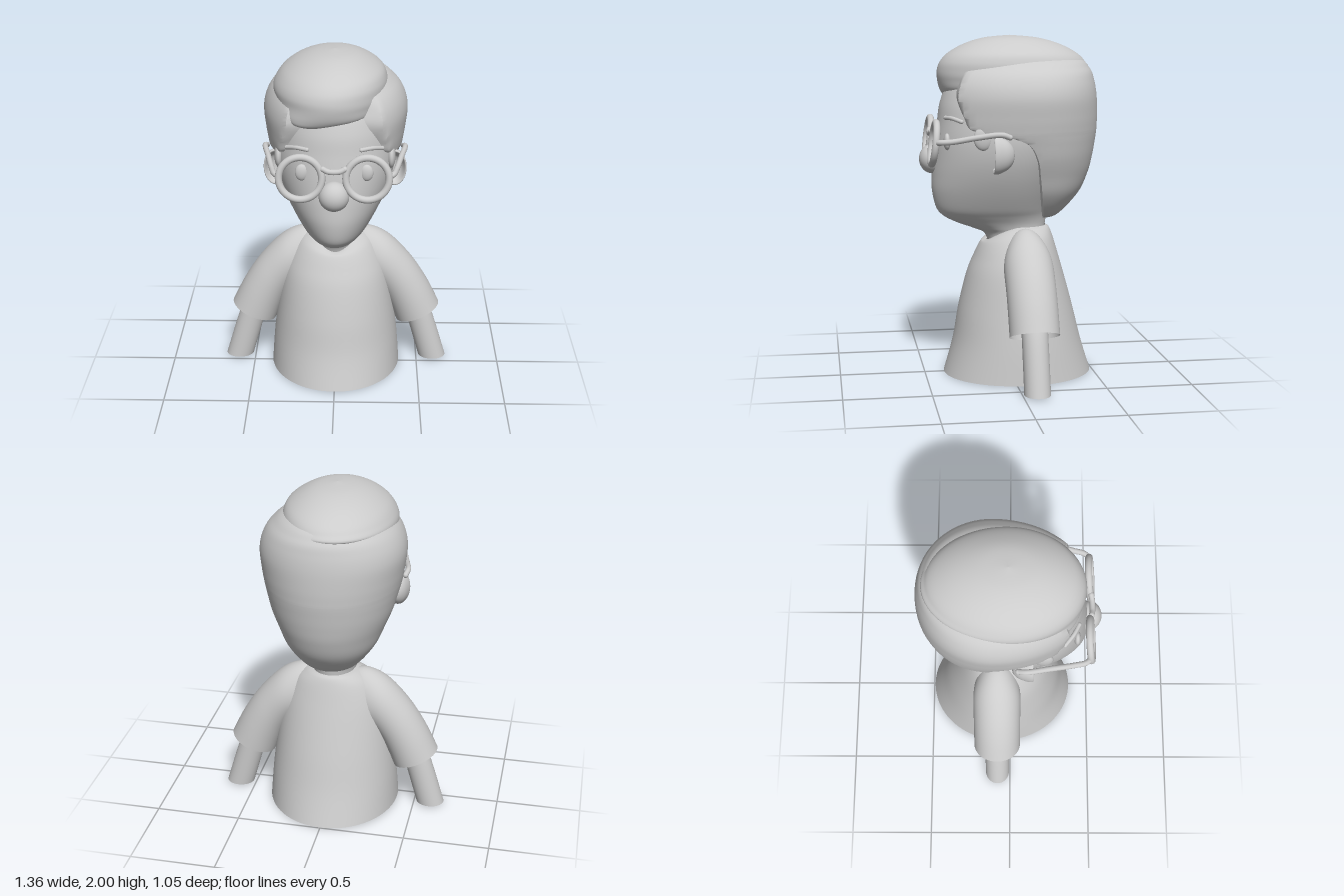
import * as THREE from 'three';
import { toCreasedNormals } from 'three/addons/utils/BufferGeometryUtils.js';

const mat = new THREE.MeshStandardMaterial({ color: 0xcccccc, side: THREE.DoubleSide });
const V = (x, y, z) => new THREE.Vector3(x, y, z);
const SEG = 72;

// Smooth interpolation through rows of section parameters
function refine(rows, steps) {
  const out = [];
  const cr = (a, b, c, d, t) => 0.5 * (2 * b + (c - a) * t + (2 * a - 5 * b + 4 * c - d) * t * t + (3 * b - a - 3 * c + d) * t * t * t);
  for (let i = 0; i < rows.length - 1; i++) {
    const a = rows[Math.max(i - 1, 0)], b = rows[i], c = rows[i + 1], d = rows[Math.min(i + 2, rows.length - 1)];
    for (let k = 0; k < steps; k++) out.push(b.map((_, n) => cr(a[n], b[n], c[n], d[n], k / steps)));
  }
  out.push(rows[rows.length - 1]);
  return out;
}

// Skin closed rings made by point(row, angle)
function skin(rows, point, steps = 6) {
  const pos = [], idx = [], all = refine(rows, steps);
  all.forEach((row, i) => {
    for (let j = 0; j < SEG; j++) {
      const p = point(row, (j / SEG) * Math.PI * 2);
      pos.push(p.x, p.y, p.z);
      if (i === all.length - 1) continue;
      const a = i * SEG + j, b = i * SEG + (j + 1) % SEG, c = a + SEG, d = b + SEG;
      idx.push(a, c, b, b, c, d);
    }
  });
  const g = new THREE.BufferGeometry();
  g.setAttribute('position', new THREE.Float32BufferAttribute(pos, 3));
  g.setIndex(idx);
  g.computeVertexNormals();
  return g;
}

// Horizontal section: [y, centreX, halfWidth, centreZ, frontZ, backZ, extra]
function section([y, cx, rx, cz, zf, zb], a) {
  const s = Math.sin(a);
  return V(cx + Math.max(rx, 0) * Math.cos(a), y, cz + s * (s > 0 ? zf - cz : cz - zb));
}

export function createModel() {
  const model = new THREE.Group();
  const add = (name, geo, x = 0, y = 0, z = 0) => {
    const m = new THREE.Mesh(geo, mat);
    m.name = name;
    m.position.set(x, y, z);
    model.add(m);
    return m;
  };
  const ball = (name, x, y, z, rx, ry, rz) => add(name, new THREE.SphereGeometry(1, 32, 24), x, y, z).scale.set(rx, ry, rz);
  const tube = (name, pts, r) => {
    add(name, new THREE.TubeGeometry(new THREE.CatmullRomCurve3(pts), 32, r, 12));
    for (const p of [pts[0], pts[pts.length - 1]]) ball(name + 'End', p.x, p.y, p.z, r, r, r);
  };

  // Shirt body, open at the hem, with the neckline dipping at the front
  add('shirtBody', skin([
    [0.005, 0, 0.39, -0.055, 0.385, -0.495, 0],
    [0.2, 0, 0.375, -0.06, 0.33, -0.435, 0],
    [0.4, 0, 0.35, -0.06, 0.295, -0.385, 0],
    [0.6, 0, 0.32, -0.06, 0.245, -0.33, 0],
    [0.72, 0, 0.285, -0.07, 0.2, -0.295, 0.01],
    [0.82, 0, 0.23, -0.08, 0.165, -0.265, 0.04],
    [0.87, 0, 0.17, -0.08, 0.145, -0.245, 0.075],
    [0.885, 0, 0.13, -0.07, 0.125, -0.225, 0.085],
  ], (r, a) => {
    const p = section(r, a);
    p.y -= r[6] * Math.max(0, Math.sin(a)) ** 2;
    return p;
  }));

  // Head with chin and neck
  add('head', skin([
    [0.76, 0, 0.12, -0.05, 0.11, -0.21],
    [0.84, 0, 0.122, -0.05, 0.14, -0.215],
    [0.875, 0, 0.127, -0.03, 0.215, -0.22],
    [0.91, 0, 0.14, 0.0, 0.31, -0.225],
    [0.95, 0, 0.165, 0.03, 0.385, -0.23],
    [1.0, 0, 0.2, 0.04, 0.425, -0.24],
    [1.1, 0, 0.255, 0.04, 0.448, -0.27],
    [1.2, 0, 0.3, 0.04, 0.448, -0.3],
    [1.3, 0, 0.332, 0.04, 0.44, -0.33],
    [1.4, 0, 0.347, 0.04, 0.43, -0.35],
    [1.5, 0, 0.343, 0.04, 0.415, -0.35],
    [1.62, 0, 0.325, 0.03, 0.395, -0.35],
    [1.74, 0, 0.28, 0.02, 0.34, -0.3],
    [1.82, 0, 0.2, 0, 0.22, -0.2],
    [1.86, 0, 0, 0, 0, 0],
  ], section));

  // Back and side hair, cut off at a front hairline (last value)
  add('backHair', toCreasedNormals(skin([
    [0.925, 0, 0.03, -0.22, -0.18, -0.245, -0.2],
    [0.96, 0, 0.15, -0.18, -0.1, -0.31, -0.19],
    [1.08, 0, 0.255, -0.15, 0.0, -0.42, -0.165],
    [1.2, 0, 0.31, -0.13, 0.2, -0.475, -0.145],
    [1.3, 0, 0.35, -0.12, 0.35, -0.5, -0.125],
    [1.39, 0, 0.375, -0.11, 0.45, -0.515, -0.07],
    [1.44, 0, 0.388, -0.1, 0.45, -0.522, 0.06],
    [1.47, 0, 0.394, -0.1, 0.46, -0.524, 0.24],
    [1.54, 0, 0.405, -0.1, 0.46, -0.526, 0.285],
    [1.65, 0, 0.415, -0.1, 0.45, -0.522, 0.32],
    [1.74, 0, 0.392, -0.1, 0.42, -0.507, 0.3],
    [1.81, 0, 0.34, -0.1, 0.35, -0.48, 0.27],
    [1.87, 0, 0.24, -0.1, 0.2, -0.4, 0.25],
    [1.9, 0, 0, -0.1, -0.1, -0.1, 0.2],
  ], (r, a) => {
    const p = section(r, a);
    p.z = Math.min(p.z, r[6]);
    return p;
  }), 0.8));

  // Swept top hair overhanging the forehead
  add('topHair', skin([
    [1.638, -0.1, 0, 0.32, 0.32, 0.32],
    [1.65, -0.09, 0.13, 0.3, 0.365, 0.2],
    [1.69, -0.045, 0.245, 0.2, 0.395, 0.08],
    [1.75, -0.03, 0.312, 0.02, 0.41, -0.2],
    [1.8, -0.028, 0.325, -0.02, 0.41, -0.46],
    [1.85, -0.02, 0.312, -0.02, 0.392, -0.455],
    [1.9, -0.012, 0.278, -0.02, 0.345, -0.4],
    [1.95, -0.01, 0.205, -0.02, 0.255, -0.3],
    [1.985, -0.005, 0.115, -0.02, 0.14, -0.17],
    [2.0, -0.005, 0, -0.01, -0.01, -0.01],
  ], section));

  ball('nose', 0, 1.285, 0.445, 0.085, 0.086, 0.077);
  tube('glassesBridge', [V(-0.06, 1.45, 0.455), V(-0.03, 1.437, 0.46), V(0.03, 1.437, 0.46), V(0.06, 1.45, 0.455)], 0.016);

  // Cupped ear profile, opening towards the front
  const cup = [[0, -1], [0.4, -0.92], [0.75, -0.66], [0.95, -0.3], [1, -0.08], [0.95, 0], [0.85, -0.04], [0.6, -0.3], [0.3, -0.42], [0, -0.45]];
  const cupGeo = new THREE.LatheGeometry(new THREE.SplineCurve(cup.map(p => new THREE.Vector2(...p))).getPoints(36), 40);
  cupGeo.rotateX(Math.PI / 2);

  for (const s of [1, -1]) {
    const side = s > 0 ? 'left' : 'right';

    // Sleeve rings: [topX, topY, bottomX, bottomY, depth radius]
    add(side + 'Sleeve', skin([
      [0.1, 0.87, 0.1, 0.5, 0.1],
      [0.2, 0.883, 0.16, 0.51, 0.125],
      [0.32, 0.825, 0.23, 0.52, 0.142],
      [0.45, 0.69, 0.29, 0.45, 0.143],
      [0.55, 0.54, 0.335, 0.36, 0.143],
      [0.63, 0.38, 0.37, 0.272, 0.143],
    ], ([tx, ty, bx, by, rz], a) => {
      const c = Math.cos(a);
      return V(s * ((tx + bx) / 2 + c * (tx - bx) / 2), (ty + by) / 2 + c * (ty - by) / 2, -0.08 - s * rz * Math.sin(a));
    }));

    // Arm, an open tube with a level end
    add(side + 'Arm', skin([
      [0.015, s * 0.597, 0.083, -0.08, -0.005, -0.155],
      [0.33, s * 0.503, 0.08, -0.08, -0.005, -0.155],
      [0.5, s * 0.43, 0.07, -0.08, -0.005, -0.155],
    ], section));

    add(side + 'Ear', cupGeo, s * 0.342, 1.335, 0.13).scale.set(0.068, 0.108, 0.12);
    ball(side + 'Sideburn', s * 0.318, 1.43, 0.185, 0.025, 0.07, 0.055);
    ball(side + 'Eye', s * 0.18, 1.4, 0.376, 0.037, 0.048, 0.02);
    tube(side + 'Eyebrow', [V(s * 0.15, 1.535, 0.38), V(s * 0.21, 1.535, 0.348), V(s * 0.265, 1.52, 0.302)], 0.012);

    // Glasses rim, tilted back slightly, with its temple arm
    const rim = add(side + 'GlassesRim', new THREE.TorusGeometry(0.119, 0.02, 16, 56), s * 0.185, 1.393, 0.452);
    rim.rotation.x = -0.12;
    tube(side + 'GlassesArm', [
      V(s * 0.3, 1.405, 0.452), V(s * 0.328, 1.41, 0.425), V(s * 0.345, 1.415, 0.36),
      V(s * 0.375, 1.44, 0.22), V(s * 0.4, 1.455, 0.09), V(s * 0.392, 1.44, 0.045),
    ], 0.016);
  }
  return model;
}
